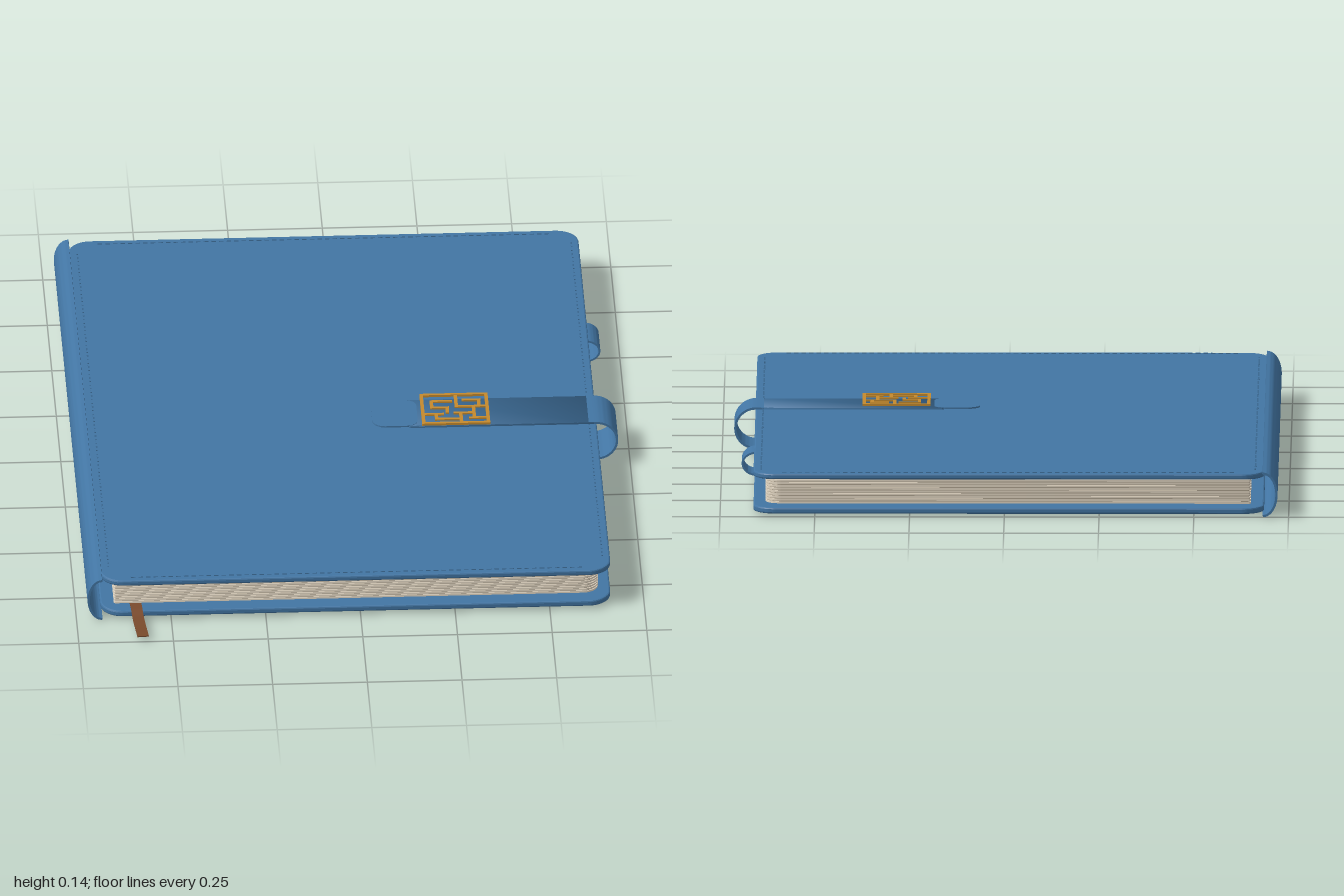
import * as THREE from 'three';
import { toCreasedNormals } from 'three/addons/utils/BufferGeometryUtils.js';

const mat = (name, color) => {
  const m = new THREE.MeshStandardMaterial({ color });
  m.name = name;
  return m;
};

// Rounded rectangle seen from above: radii for the left and right corners
function roundedOutline(x0, x1, z0, z1, rl, rr) {
  const s = new THREE.Shape();
  const a = -z1, b = -z0;
  s.moveTo(x0 + rl, a);
  s.lineTo(x1 - rr, a);
  s.absarc(x1 - rr, a + rr, rr, -Math.PI / 2, 0, false);
  s.lineTo(x1, b - rr);
  s.absarc(x1 - rr, b - rr, rr, 0, Math.PI / 2, false);
  s.lineTo(x0 + rl, b);
  s.absarc(x0 + rl, b - rl, rl, Math.PI / 2, Math.PI, false);
  s.lineTo(x0, a + rl);
  s.absarc(x0 + rl, a + rl, rl, Math.PI, Math.PI * 1.5, false);
  return s;
}

// Horizontal sheet from y0 to y1, with an optional rounded rim
function sheet(name, material, outline, y0, y1, bevel = 0, crease = 0.3) {
  let g = new THREE.ExtrudeGeometry(outline, {
    depth: y1 - y0 - 2 * bevel, curveSegments: 8, bevelEnabled: bevel > 0,
    bevelSize: bevel, bevelThickness: bevel, bevelOffset: -bevel, bevelSegments: 2,
  });
  g.rotateX(-Math.PI / 2);
  g.translate(0, y0 + bevel, 0);
  g = toCreasedNormals(g, crease);
  const mesh = new THREE.Mesh(g, material);
  mesh.name = name;
  return mesh;
}

// Thin band following a curve in the xy plane, swept from z0 to z1
function band(name, material, points, thickness, z0, z1) {
  const curve = new THREE.CatmullRomCurve3(points.map(([x, y]) => new THREE.Vector3(x, y, 0)));
  const n = 32, outer = [], inner = [];
  for (let i = 0; i <= n; i++) {
    const p = curve.getPoint(i / n), t = curve.getTangent(i / n);
    const ox = -t.y * thickness / 2, oy = t.x * thickness / 2;
    outer.push(new THREE.Vector2(p.x + ox, p.y + oy));
    inner.unshift(new THREE.Vector2(p.x - ox, p.y - oy));
  }
  let g = new THREE.ExtrudeGeometry(new THREE.Shape([...outer, ...inner]), { depth: z1 - z0, bevelEnabled: false });
  g.translate(0, 0, z0);
  g = toCreasedNormals(g, 0.6);
  const mesh = new THREE.Mesh(g, material);
  mesh.name = name;
  return mesh;
}

// Points on a half ellipse, top to bottom; side is +1 (right) or -1 (left)
const halfLoop = (cx, cy, rx, ry, side) => Array.from({ length: 13 }, (_, i) => {
  const a = Math.PI / 2 - (i / 12) * Math.PI;
  return [cx + side * rx * Math.cos(a), cy + ry * Math.sin(a)];
});

export function createModel() {
  const root = new THREE.Group();
  root.name = 'notebook';
  const leather = mat('blue leather', 0x4275a3);
  const paper = mat('cream paper', 0xe6dac6);
  const paperGap = mat('shaded paper', 0xb3a793);
  const gold = mat('gold metal', 0xc48a2e);
  const brown = mat('brown ribbon', 0x7a4a2c);

  // Covers
  const coverOutline = () => roundedOutline(-0.685, 0.662, -1, 0.875, 0.06, 0.06);
  root.add(sheet('backCover', leather, coverOutline(), 0.008, 0.024, 0.004));
  root.add(sheet('frontCover', leather, coverOutline(), 0.1, 0.115, 0.004));

  // Page block: cream sheets with recessed darker layers between them
  const pages = new THREE.Group();
  pages.name = 'pages';
  const count = 9, step = 0.066 / count;
  for (let i = 0; i < count; i++) {
    const y = 0.03 + i * step;
    pages.add(sheet('pageSheet', paper, roundedOutline(-0.65, 0.63, -0.965, 0.84, 0.005, 0.04), y, y + step * 0.7));
    if (i < count - 1) {
      pages.add(sheet('pageGap', paperGap,
        roundedOutline(-0.648, 0.628, -0.963, 0.838, 0.005, 0.04), y + step * 0.7, y + step));
    }
  }
  root.add(pages);

  // Curved spine
  root.add(band('spine', leather, halfLoop(-0.682, 0.06, 0.036, 0.057, -1), 0.006, -1, 0.875));

  // Stitching around the front cover
  const stitching = new THREE.Group();
  stitching.name = 'stitching';
  const stitchGeometry = new THREE.BoxGeometry(0.012, 0.004, 0.004);
  const addRow = (from, to, fixed, alongX) => {
    for (let t = from; t <= to; t += 0.02) {
      const s = new THREE.Mesh(stitchGeometry, leather);
      s.name = 'stitch';
      s.position.set(alongX ? t : fixed, 0.1155, alongX ? fixed : t);
      if (!alongX) s.rotation.y = Math.PI / 2;
      stitching.add(s);
    }
  };
  for (const z of [-0.98, 0.855]) addRow(-0.6, 0.6, z, true);
  for (const x of [-0.662, 0.642]) addRow(-0.93, 0.81, x, false);
  root.add(stitching);

  // Closing strap: rounded tongue, softly shaded main length and the loop round the fore edge
  const strap = new THREE.Group();
  strap.name = 'strap';
  strap.add(sheet('strapTongue', leather, roundedOutline(0.07, 0.19, -0.058, 0.083, 0.035, 0.03), 0.1255, 0.1295));
  strap.add(sheet('strapTop', leather, roundedOutline(0.165, 0.655, -0.06, 0.086, 0.005, 0.001),
    0.124, 0.1285, 0, Math.PI));
  strap.add(band('strapLoop', leather,
    [[0.64, 0.1265], ...halfLoop(0.66, 0.073, 0.055, 0.0535, 1), [0.64, 0.0205]], 0.006, -0.06, 0.086));
  root.add(strap);

  // Pen loop
  root.add(band('penLoop', leather, halfLoop(0.655, 0.06, 0.038, 0.03, 1), 0.005, -0.53, -0.43));

  // Gold fretwork clasp
  const clasp = new THREE.Group();
  clasp.name = 'clasp';
  const bar = (x0, x1, z0, z1, y0 = 0.135, y1 = 0.141) => {
    const b = new THREE.Mesh(new THREE.BoxGeometry(x1 - x0, y1 - y0, z1 - z0), gold);
    b.name = 'claspBar';
    b.position.set((x0 + x1) / 2, (y0 + y1) / 2, (z0 + z1) / 2);
    clasp.add(b);
  };
  const w = 0.009;
  bar(0.2, 0.38, -0.07, -0.07 + w);
  bar(0.2, 0.38, 0.095 - w, 0.095);
  bar(0.2, 0.2 + w, -0.07, 0.095);
  bar(0.38 - w, 0.38, -0.07, 0.095);
  // Maze bars: [x, z, length, runs along x]
  const maze = [
    [0.225, -0.035, 0.06, 1], [0.31, -0.04, 0.05, 1], [0.225, 0, 0.05, 1], [0.29, -0.005, 0.085, 1],
    [0.205, 0.035, 0.055, 1], [0.285, 0.03, 0.05, 1], [0.235, 0.062, 0.07, 1], [0.325, 0.058, 0.05, 1],
    [0.225, -0.035, 0.035, 0], [0.265, 0, 0.035, 0], [0.29, -0.065, 0.06, 0], [0.35, -0.04, 0.035, 0],
    [0.335, 0, 0.065, 0], [0.235, 0.035, 0.035, 0], [0.3, 0.03, 0.06, 0],
  ];
  for (const [x, z, l, alongX] of maze) {
    if (alongX) bar(x, x + l, z, z + w, 0.136, 0.14);
    else bar(x, x + w, z, z + l, 0.136, 0.14);
  }
  root.add(clasp);

  // Ribbon bookmark running out past the lower edge
  const ribbon = band('ribbonBookmark', brown,
    [[0.6, 0.027], [0.75, 0.027], [0.86, 0.0265], [0.9, 0.016], [1.0, 0.015]], 0.003, 0, 0.03);
  ribbon.rotation.y = -Math.PI / 2 + 0.08;
  ribbon.position.x = -0.645;
  root.add(ribbon);

  return root;
}
